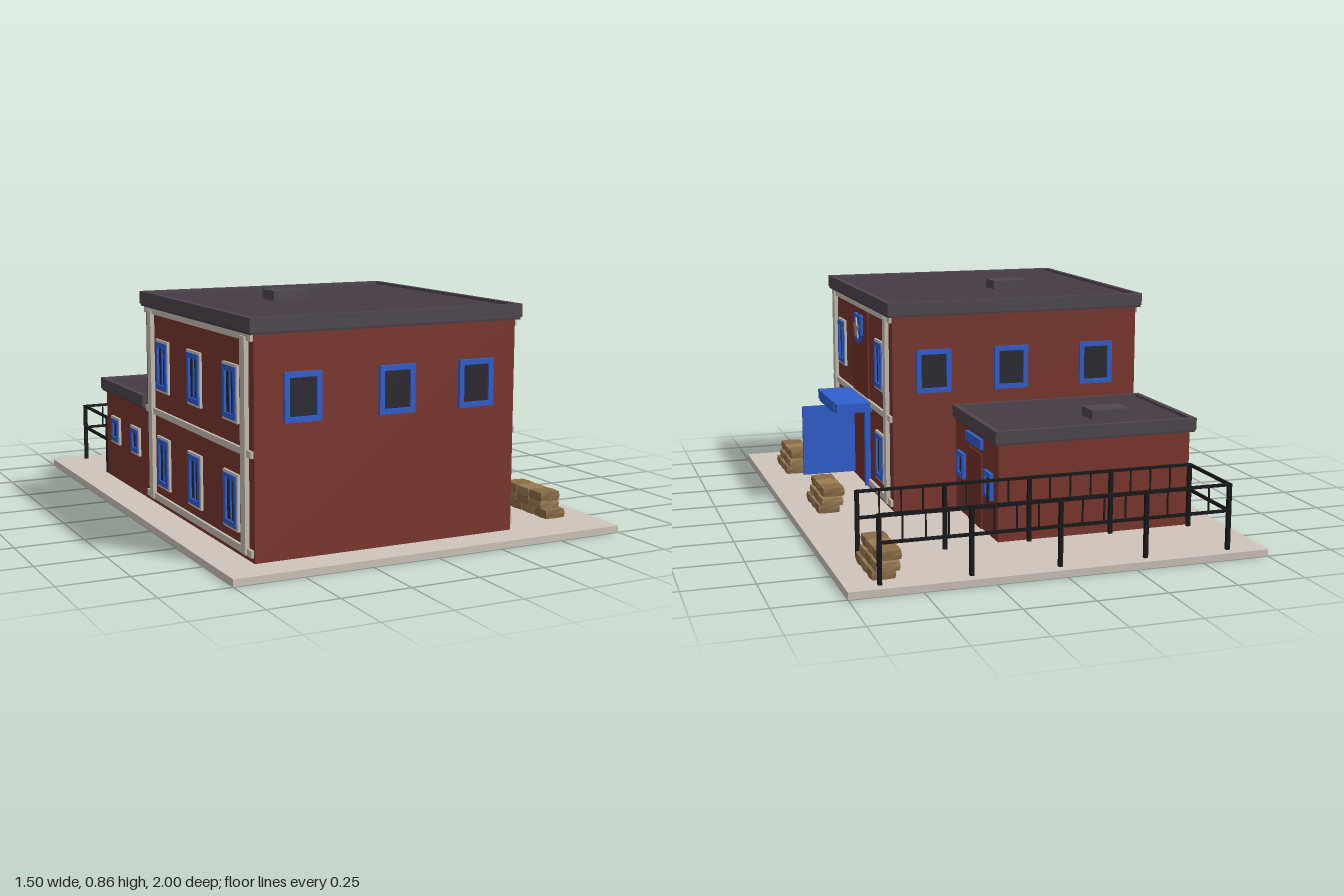
import * as THREE from 'three';

const mat = (color, side = THREE.FrontSide) =>
  new THREE.MeshStandardMaterial({ color, side, flatShading: true });
const M = {
  brick: mat(0x7b362d), brickPanel: mat(0x743229), roof: mat(0x443b45), cap: mat(0x50464f),
  slab: mat(0xcfc4ba), trim: mat(0xc8bfb3), blue: mat(0x2f5fd0), glass: mat(0x2a2830),
  bag: mat(0x9a7c53), bagDark: mat(0x8a6c47), iron: mat(0x17171a), star: mat(0xb59c78),
};

// Box given by its two extreme corners
function box(parent, name, material, [x0, x1], [y0, y1], [z0, z1]) {
  const m = new THREE.Mesh(new THREE.BoxGeometry(x1 - x0, y1 - y0, z1 - z0), material);
  m.position.set((x0 + x1) / 2, (y0 + y1) / 2, (z0 + z1) / 2);
  m.name = name;
  parent.add(m);
  return m;
}

function group(parent, name) {
  const g = new THREE.Group();
  g.name = name;
  parent.add(g);
  return g;
}

// Rectangular ring in the xy plane, extruded along +z
function ring(w, h, border, depth) {
  const rect = (S, a, b) => new S([[-a, -b], [a, -b], [a, b], [-a, b]].map(p => new THREE.Vector2(...p)));
  const s = rect(THREE.Shape, w / 2, h / 2);
  s.holes.push(rect(THREE.Path, w / 2 - border, h / 2 - border));
  return new THREE.ExtrudeGeometry(s, { depth, bevelEnabled: false });
}

// Window facing local +z: optional stone surround, blue frame, glass, mullion
function addWindow(parent, pos, turn, w, h, { surround = 0, mullion = false } = {}) {
  const g = group(parent, 'window');
  const add = (name, geo, material) => {
    const m = new THREE.Mesh(geo, material);
    m.name = name;
    g.add(m);
  };
  if (surround) add('windowSurround', ring(w, h, surround, 0.009), M.trim);
  const fw = w - 2 * surround, fh = h - 2 * surround, b = 0.018;
  add('windowFrame', ring(fw, fh, b, 0.013), M.blue);
  box(g, 'windowGlass', M.glass, [-fw / 2 + b, fw / 2 - b], [-fh / 2 + b, fh / 2 - b], [-0.004, 0.005]);
  if (mullion) box(g, 'mullion', M.blue, [-0.004, 0.004], [-fh / 2 + b, fh / 2 - b], [0, 0.009]);
  g.position.set(...pos);
  g.rotation.y = turn;
}

// Flat roof with a raised rim
function addRoof(parent, [x0, x1], y, [z0, z1], h) {
  const g = group(parent, 'roof');
  box(g, 'roofDeck', M.roof, [x0 + 0.004, x1 - 0.004], [y, y + h - 0.01], [z0 + 0.004, z1 - 0.004]);
  const rim = new THREE.Mesh(ring(x1 - x0, z1 - z0, 0.02, h - 0.008), M.cap);
  rim.name = 'roofRim';
  rim.rotation.x = -Math.PI / 2;
  rim.position.set((x0 + x1) / 2, y + 0.008, (z0 + z1) / 2);
  g.add(rim);
}

function addMainBuilding(root) {
  const g = group(root, 'mainBuilding');
  box(g, 'mainWalls', M.brick, [-0.62, 0.37], [0.025, 0.79], [-0.13, 0.875]);
  addRoof(g, [-0.64, 0.39], 0.775, [-0.145, 0.89], 0.055);
  box(g, 'roofVent', M.cap, [-0.3, -0.155], [0.81, 0.855], [0.235, 0.335]);

  // Plain windows on the front and back walls
  for (const x of [-0.45, -0.1, 0.21]) {
    addWindow(g, [x, 0.565, 0.875], 0, 0.135, 0.165);
    addWindow(g, [x, 0.565, -0.13], Math.PI, 0.135, 0.165);
  }

  // Stone trim and double windows on both long walls
  for (const s of [1, -1]) {
    const wall = s > 0 ? 0.37 : -0.62;
    const out = d => (s > 0 ? [wall - 0.01, wall + d] : [wall - d, wall + 0.01]);
    for (const z of [0.815, -0.06])
      box(g, 'pilaster', M.trim, out(0.016), [0.045, 0.765], [z - 0.019, z + 0.019]);
    for (const [y0, y1] of [[0.752, 0.776], [0.373, 0.396], [0.043, 0.068]])
      if (s > 0 && y0 < 0.1) {
        box(g, 'baseBand', M.trim, out(0.01), [y0, y1], [0.52, 0.87]);
        box(g, 'baseBand', M.trim, out(0.01), [y0, y1], [-0.125, 0.235]);
      } else box(g, 'band', M.trim, out(0.01), [y0, y1], [-0.125, 0.87]);
    for (const z of s > 0 ? [0.055, 0.695] : [0.055, 0.37, 0.695])
      for (const y of [0.565, 0.2])
        addWindow(g, [wall, y, z], s * Math.PI / 2, 0.125, 0.195, { surround: 0.009, mullion: true });
  }
  box(g, 'centrePanel', M.brickPanel, [0.36, 0.375], [0.396, 0.752], [0.24, 0.505]);
}

function addEntrance(root) {
  const g = group(root, 'entrance');
  box(g, 'doorway', M.brickPanel, [0.36, 0.373], [0.03, 0.373], [0.24, 0.505]);
  for (const z of [0.242, 0.513])
    box(g, 'doorJamb', M.blue, [0.36, 0.392], [0.04, 0.36], [z - 0.01, z + 0.01]);
  box(g, 'openDoor', M.blue, [0.375, 0.595], [0.04, 0.33], [0.489, 0.502]);
  // Canopy, hollow underneath
  box(g, 'canopyTop', M.blue, [0.37, 0.515], [0.378, 0.39], [0.19, 0.555]);
  box(g, 'canopyFascia', M.blue, [0.5, 0.515], [0.353, 0.38], [0.195, 0.55]);
  for (const z of [0.195, 0.538])
    box(g, 'canopySide', M.blue, [0.37, 0.505], [0.353, 0.38], [z, z + 0.012]);
  box(g, 'canopyBoard', M.blue, [0.51, 0.519], [0.349, 0.393], [0.235, 0.51]);
}

function addShield(root) {
  const g = group(root, 'shield');
  const half = [[0, 0.055], [0.035, 0.062], [0.068, 0.055], [0.062, -0.02], [0.04, -0.045], [0, -0.062]];
  const pts = [...half, ...half.slice(1, -1).reverse().map(([x, y]) => [-x, y])];
  const star = Array.from({ length: 10 }, (_, i) => {
    const r = i % 2 ? 0.02 : 0.047, a = Math.PI / 2 + i * Math.PI / 5;
    return [r * Math.cos(a), r * Math.sin(a)];
  });
  for (const [name, p, depth, m] of [['shieldPlate', pts, 0.012, M.blue], ['shieldStar', star, 0.017, M.star]]) {
    const shape = new THREE.Shape(p.map(q => new THREE.Vector2(...q)));
    const mesh = new THREE.Mesh(new THREE.ExtrudeGeometry(shape, { depth, bevelEnabled: false }), m);
    mesh.name = name;
    g.add(mesh);
  }
  g.position.set(0.374, 0.665, 0.375);
  g.rotation.y = Math.PI / 2;
}

function addAnnex(root) {
  const g = group(root, 'annex');
  box(g, 'annexWalls', M.brick, [-0.62, 0.12], [0.025, 0.39], [-0.63, -0.12]);
  addRoof(g, [-0.64, 0.135], 0.378, [-0.645, -0.131], 0.052);
  box(g, 'annexVent', M.cap, [-0.43, -0.28], [0.41, 0.455], [-0.52, -0.42]);
  box(g, 'annexDoor', M.brickPanel, [0.11, 0.126], [0.025, 0.305], [-0.455, -0.295]);
  box(g, 'annexSignBoard', M.blue, [0.11, 0.134], [0.325, 0.362], [-0.465, -0.285]);
  for (const z of [-0.21, -0.537])
    addWindow(g, [0.12, 0.213, z], Math.PI / 2, 0.085, 0.098);
  for (const z of [-0.265, -0.505])
    addWindow(g, [-0.62, 0.23, z], -Math.PI / 2, 0.1, 0.11, { surround: 0.009 });
}

function addFence(root) {
  const g = group(root, 'fence');
  const x0 = -0.615, x1 = 0.635, zs = [-0.955, -0.648], r = 0.005;
  for (const y of [0.258, 0.165]) {
    for (const z of zs)
      box(g, 'fenceRail', M.iron, [x0, x1], [y - r, y + r], [z - r, z + r]);
    box(g, 'fenceEndRail', M.iron, [x0 - r, x0 + r], [y - r, y + r], zs);
  }
  // Four bays: a post at each end, slim bars between the rails
  for (const z of zs)
    for (let i = 0; i <= 16; i++) {
      const x = x0 + (x1 - x0) * i / 16, post = i % 4 === 0, w = post ? 0.007 : 0.0025;
      box(g, post ? 'fencePost' : 'fenceBar', M.iron, [x - w, x + w], [post ? 0.02 : 0.165, 0.262], [z - w, z + w]);
    }
}

// Sandbag: box with its ends pinched a little
function bagGeometry(w, h, d) {
  const geo = new THREE.BoxGeometry(w, h, d, 2, 2, 2);
  const p = geo.attributes.position;
  for (let i = 0; i < p.count; i++) {
    const edges = [Math.abs(p.getX(i)) > 0.001, Math.abs(p.getY(i)) > 0.001, Math.abs(p.getZ(i)) > 0.001];
    const k = edges.filter(Boolean).length > 2 ? 0.94 : 1;
    p.setXYZ(i, p.getX(i) * k, p.getY(i) * k, p.getZ(i) * k);
  }
  geo.computeVertexNormals();
  return geo;
}

function addSandbags(root) {
  const geo = bagGeometry(0.083, 0.032, 0.077);
  for (const z of [0.685, 0.035, -0.805]) {
    const g = group(root, 'sandbagStack');
    for (let layer = 0; layer < 3; layer++)
      for (let i = -1; i <= 1; i++) {
        const bag = new THREE.Mesh(geo, (layer + i) % 2 ? M.bagDark : M.bag);
        bag.name = 'sandbag';
        const shift = [0.012, -0.012, 0.003][layer];
        bag.position.set(0.609 - layer * 0.009, 0.041 + layer * 0.033, z + i * 0.079 + shift);
        g.add(bag);
      }
  }
}

export function createModel() {
  const root = new THREE.Group();
  root.name = 'station';
  box(root, 'groundSlab', M.slab, [-0.75, 0.75], [0, 0.025], [-1, 1]);
  addMainBuilding(root);
  addEntrance(root);
  addShield(root);
  addAnnex(root);
  addFence(root);
  addSandbags(root);
  return root;
}
